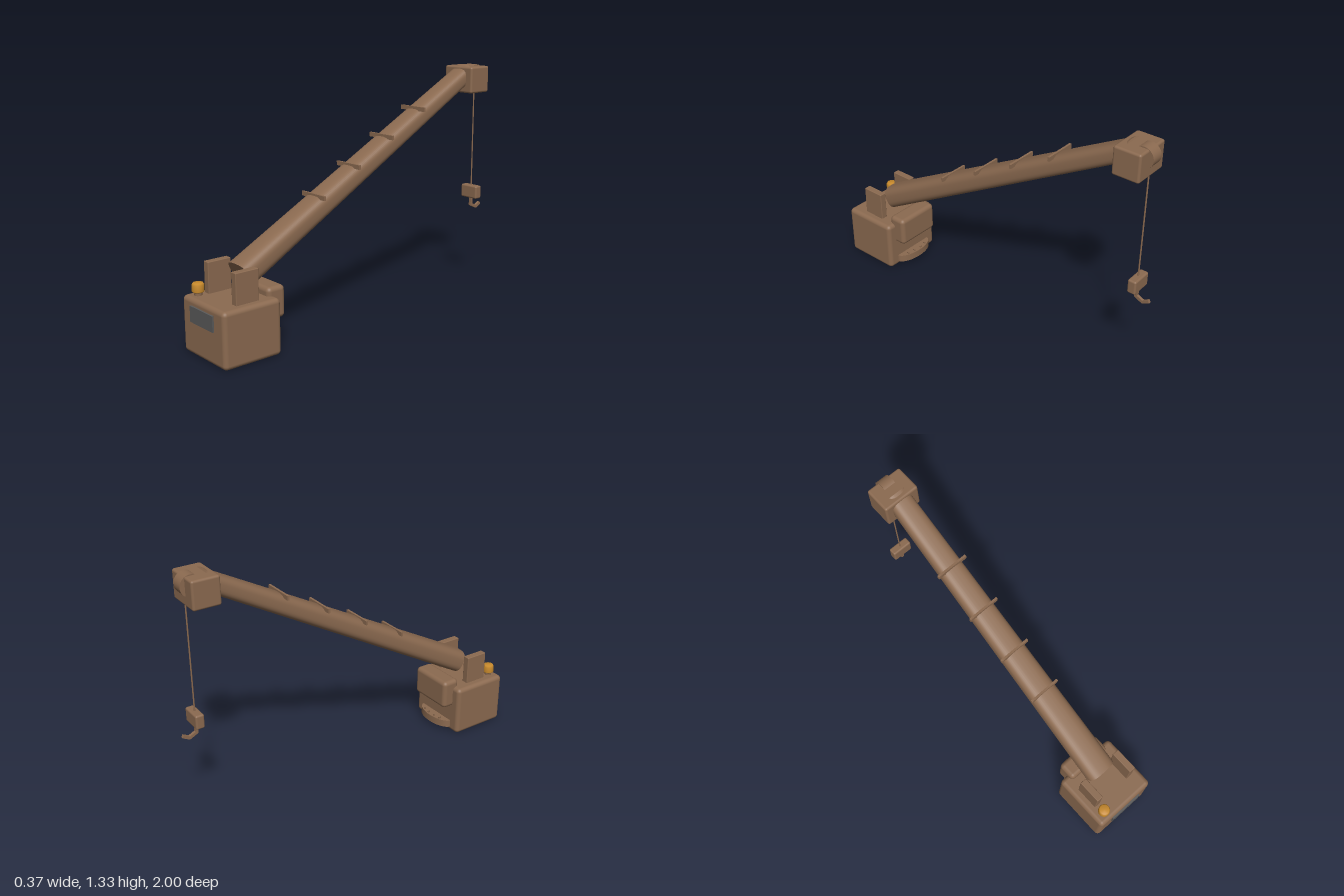
import * as THREE from 'three';
import { RoundedBoxGeometry } from 'three/addons/geometries/RoundedBoxGeometry.js';

export function createModel() {
  const model = new THREE.Group();
  model.name = 'crane';
  const mat = (name, color) => {
    const m = new THREE.MeshStandardMaterial({ color });
    m.name = name;
    return m;
  };
  const brown = mat('brown paint', 0x8b6a50);
  const grey = mat('window grey', 0x5a5a5a);
  const amber = mat('amber', 0xc88a2c);

  const add = (name, geometry, material, x, y, z) => {
    const mesh = new THREE.Mesh(geometry, material);
    mesh.name = name;
    mesh.position.set(x, y, z);
    model.add(mesh);
    return mesh;
  };
  const rounded = (w, h, d, r) => new RoundedBoxGeometry(w, h, d, 4, r);

  // Square bar running between two points
  const bar = (name, a, b, size) => {
    const dir = b.clone().sub(a);
    const mid = a.clone().add(b).multiplyScalar(0.5);
    const mesh = add(name, new THREE.BoxGeometry(size, dir.length() + size * 0.5, size), brown, mid.x, mid.y, mid.z);
    mesh.quaternion.setFromUnitVectors(new THREE.Vector3(0, 1, 0), dir.normalize());
  };

  // Base housing, window and rear counterweight
  add('body', rounded(0.372, 0.295, 0.337, 0.024), brown, 0, 0.1475, 0.822);
  add('window', new THREE.BoxGeometry(0.2, 0.083, 0.0095), grey, 0, 0.219, 0.9952);
  add('counterweight', rounded(0.266, 0.17, 0.107, 0.024), brown, 0, 0.253, 0.642);

  // Boom support plates
  for (const s of [1, -1]) {
    add('supportPlate', rounded(0.039, 0.18, 0.134, 0.004), brown, s * 0.12, 0.368, 0.82);
  }

  // Warning beacon
  add('beaconBase', new THREE.CylinderGeometry(0.02, 0.02, 0.03, 20), brown, -0.122, 0.302, 0.935);
  const beaconProfile = [[0, 0], [0.029, 0], [0.032, 0.004], [0.032, 0.036], [0.026, 0.046], [0, 0.047]]
    .map(([r, y]) => new THREE.Vector2(r, y));
  add('beacon', new THREE.LatheGeometry(beaconProfile, 20), amber, -0.122, 0.313, 0.935);

  // Curved rear step with studs
  const stepShape = new THREE.Shape();
  stepShape.absellipse(0, 0, 0.125, 0.06, 0, Math.PI, false);
  const step = new THREE.ExtrudeGeometry(stepShape, { depth: 0.042, bevelEnabled: false, curveSegments: 24 });
  step.rotateX(-Math.PI / 2);
  add('rearStep', step, brown, 0, 0.025, 0.655);
  for (const x of [-0.07, -0.025, 0.025, 0.07]) {
    const z = 0.655 - 0.045 * Math.sqrt(1 - (x / 0.125) ** 2);
    add('stepStud', new THREE.CylinderGeometry(0.006, 0.006, 0.012, 10), brown, x, 0.072, z);
  }

  // Tapered boom with a soft rectangular section
  const start = new THREE.Vector3(0, 0.3975, 0.763);
  const end = new THREE.Vector3(0, 1.29, -0.843);
  const length = start.distanceTo(end);
  const boomGeometry = new THREE.CylinderGeometry(1, 1, length, 40, 1);
  boomGeometry.rotateY(Math.PI);
  const p = boomGeometry.attributes.position;
  const soften = (v) => Math.sign(v) * Math.abs(v) ** 0.68;
  for (let i = 0; i < p.count; i++) {
    const t = p.getY(i) / length + 0.5;
    const w = THREE.MathUtils.lerp(0.085, 0.062, t);
    const h = THREE.MathUtils.lerp(0.066, 0.049, t);
    p.setX(i, soften(p.getX(i)) * w);
    p.setZ(i, soften(p.getZ(i)) * h);
  }
  boomGeometry.computeVertexNormals();
  const boom = add('boom', boomGeometry, brown, 0, (start.y + end.y) / 2, (start.z + end.z) / 2);
  boom.rotation.x = Math.atan2(end.z - start.z, end.y - start.y);

  // Cross bars along the top of the boom
  for (let i = 0; i < 4; i++) {
    add('crossBar', new THREE.BoxGeometry(0.182, 0.024, 0.012), brown, 0, 0.721 + i * 0.1307, 0.297 - i * 0.238);
  }

  // Boom head and pulley
  add('boomHead', rounded(0.206, 0.151, 0.15, 0.012), brown, 0, 1.249, -0.855);
  const pulley = new THREE.CylinderGeometry(0.056, 0.056, 0.066, 32);
  pulley.rotateZ(Math.PI / 2);
  add('pulley', pulley, brown, 0, 1.275, -0.9);

  // Cable, hook block and hook
  add('cable', new THREE.CylinderGeometry(0.004, 0.004, 0.66, 10), brown, 0, 0.92, -0.92);
  add('hookBlock', rounded(0.12, 0.078, 0.048, 0.01), brown, 0, 0.565, -0.92);
  const hook = [[0.535, -0.92], [0.482, -0.92], [0.463, -0.96], [0.48, -0.992]]
    .map(([y, z]) => new THREE.Vector3(0, y, z));
  for (let i = 0; i < 3; i++) bar('hook', hook[i], hook[i + 1], 0.016);

  return model;
}
